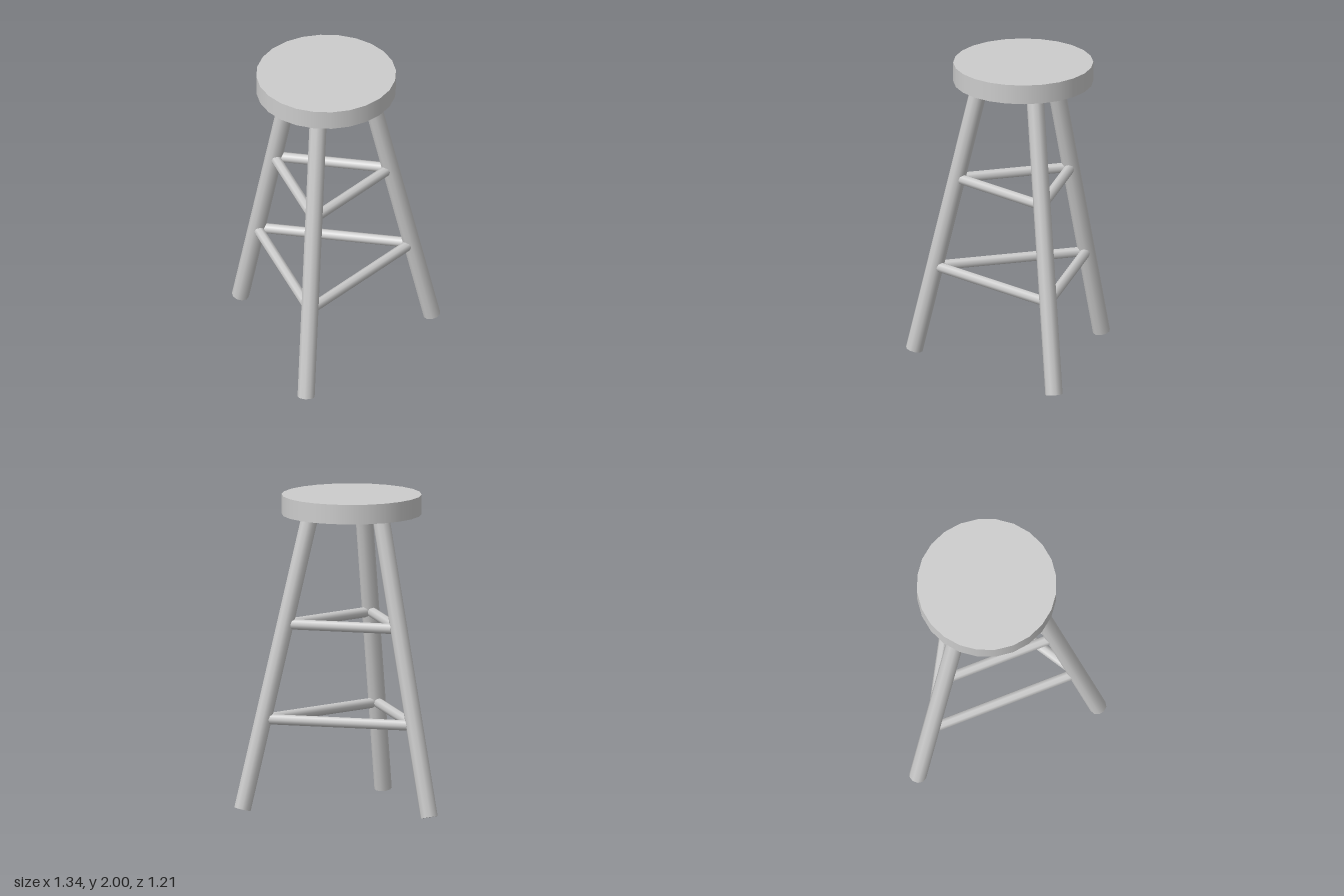
import * as THREE from 'three';

export function createModel() {
  const model = new THREE.Group();
  model.name = 'stool';
  const grey = new THREE.MeshStandardMaterial({ color: 0xcccccc });
  grey.name = 'plain grey';

  const add = (parent, name, geometry) => {
    const mesh = new THREE.Mesh(geometry, grey);
    mesh.name = name;
    parent.add(mesh);
    return mesh;
  };

  // Everything is arranged around the seat axis
  const frame = new THREE.Group();
  frame.name = 'frame';
  frame.position.z = -0.16;
  model.add(frame);

  // Round seat
  const seat = add(frame, 'seat', new THREE.CylinderGeometry(0.443, 0.443, 0.125, 24));
  seat.position.y = 1.9375;

  // Distance of a leg's centre line from the seat axis at height y
  const footY = 0.0125, topY = 1.9;
  const legRadiusAt = (y) => 0.71 - 0.2366 * (y - footY);
  const tilt = Math.atan(0.2366);
  const legLength = (topY - footY) / Math.cos(tilt);

  const legGeometry = new THREE.CylinderGeometry(0.055, 0.055, legLength, 10);
  const sides = ['front', 'right', 'left'];

  for (let i = 0; i < 3; i++) {
    const side = new THREE.Group();
    side.name = sides[i] + 'Side';
    side.rotation.y = -i * Math.PI * 2 / 3;
    frame.add(side);

    // Splayed leg
    const midY = (footY + topY) / 2;
    const leg = add(side, sides[i] + 'Leg', legGeometry);
    leg.position.set(0, midY, legRadiusAt(midY));
    leg.rotation.x = -tilt;

    // Two rungs joining the other two legs
    for (const [name, y] of [['lowerRung', 0.583], ['upperRung', 1.185]]) {
      const r = legRadiusAt(y);
      const length = Math.sqrt(3) * r - 0.09;
      const rung = add(side, name, new THREE.CylinderGeometry(0.033, 0.033, length, 8));
      rung.position.set(0, y, -r / 2);
      rung.rotation.z = Math.PI / 2;
    }
  }
  return model;
}
